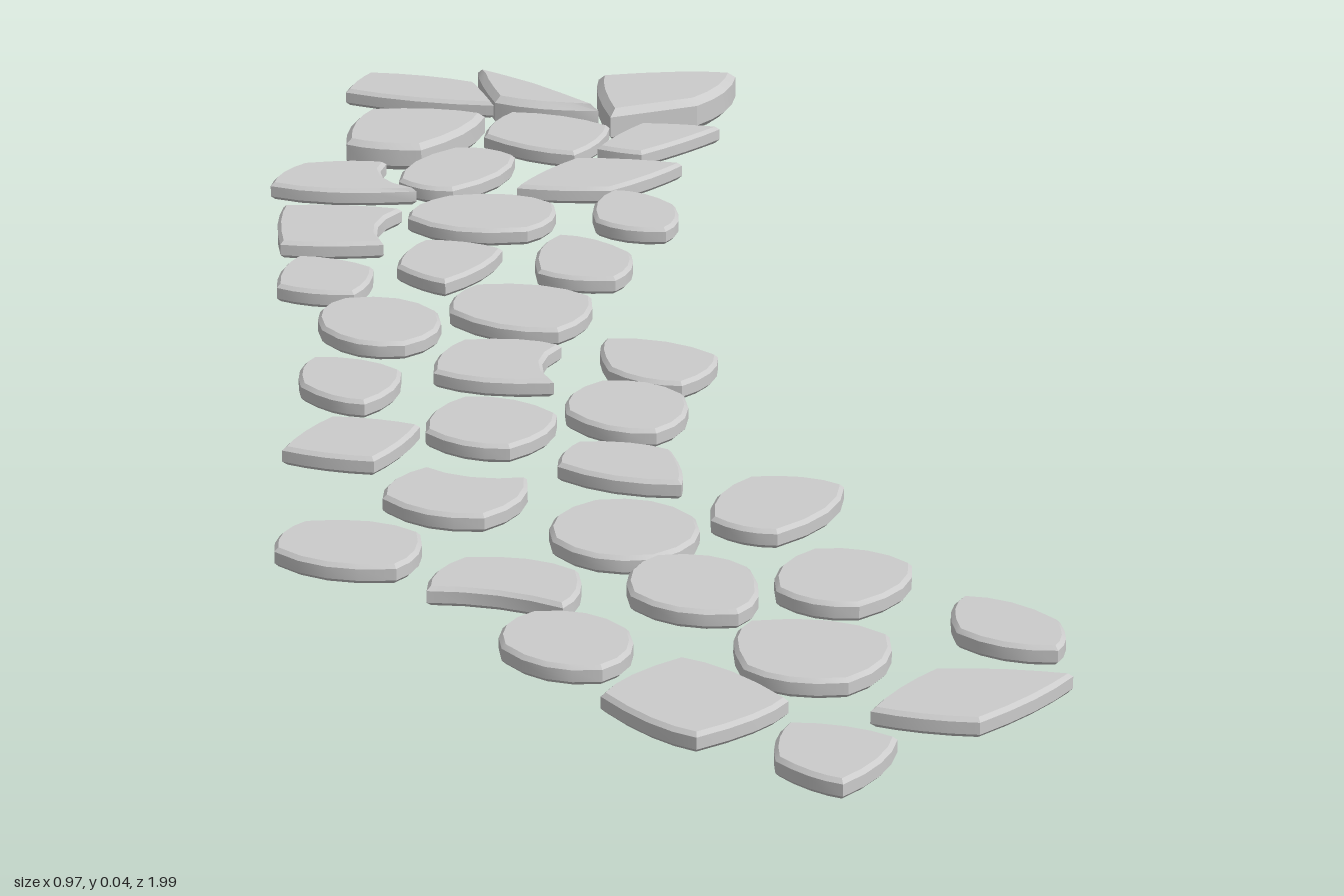
import * as THREE from 'three';
import { toCreasedNormals } from 'three/addons/utils/BufferGeometryUtils.js';

const THIN = [0.014, 0.034];   // bottom and top of an ordinary stone
const NOTCH = { backLeft: 0, frontLeft: 1, frontRight: 2 };

// Each stone: centre x, z, width, depth,
// then where its outline touches the back, left, front and right side of that box (0..1),
// its fullness (0 = straight edges, 1 = very round) and optionally a hollowed corner.
const sections = {
  backStones: [
    [.12, -.92, .15, .16, .32, .5, .95, .32, .2],
    [.21, -.725, .145, .16, .4, .55, .5, .4, .35],
    [.32, -.665, .155, .095, .5, .5, .25, .6, .15],
    [-.07, -.665, .145, .13, .4, .25, 1, .4, .4, NOTCH.frontLeft],
    [.07, -.65, .15, .13, .65, .4, .3, .6, .55],
    [.21, -.575, .2, .11, .48, .57, .47, .57, .2],
    [-.115, -.53, .16, .155, .27, .4, .65, .72, .25, NOTCH.frontLeft],
    [.045, -.5, .165, .135, .4, .5, .65, .35, .65],
    [.2, -.445, .1, .14, .55, .5, .6, .6, .55],
  ],
  middleBackStones: [
    [-.185, -.385, .115, .13, .45, .5, .6, .6, .35],
    [-.04, -.38, .125, .13, .45, .45, .25, .5, .35],
    [.09, -.33, .115, .15, .55, .55, .6, .65, .5],
    [-.175, -.235, .13, .15, .4, .5, .5, .5, .75],
    [-.02, -.215, .155, .16, .35, .5, .55, .4, .55],
    [-.26, -.09, .11, .14, .35, .5, .4, .5, .5],
    [-.1, -.075, .15, .145, .4, .37, .7, .5, .45, NOTCH.frontLeft],
    [.055, -.02, .12, .15, .25, .6, .45, .55, .5],
  ],
  middleFrontStones: [
    [-.315, .065, .15, .125, .5, .45, .5, .5, .2],
    [-.17, .075, .14, .145, .5, .55, .45, .5, .55],
    [-.025, .09, .13, .15, .5, .45, .5, .45, .65],
    [-.265, .235, .15, .14, .45, .45, .5, .4, .6, NOTCH.backLeft],
    [-.09, .23, .12, .14, .35, .4, .8, .35, .4],
    [-.41, .32, .145, .14, .35, .5, .65, .4, .55],
    [-.15, .385, .15, .155, .5, .5, .5, .5, .75],
    [.015, .38, .155, .14, .5, .4, .3, .6, .5],
    [-.305, .465, .15, .145, .4, .5, .7, .4, .5, NOTCH.frontRight],
  ],
  frontStones: [
    [-.14, .535, .13, .155, .45, .4, .6, .5, .65],
    [0, .57, .145, .14, .5, .5, .4, .55, .6],
    [-.3, .61, .125, .145, .45, .5, .55, .45, .7],
    [-.095, .715, .155, .16, .3, .5, .5, .6, .6],
    [.095, .73, .1, .145, .4, .6, .7, .5, .5],
    [-.24, .77, .155, .165, .65, .75, .3, .3, .4],
    [0, .86, .205, .12, .45, .5, .4, .5, .2],
    [-.165, .925, .12, .135, .35, .5, .3, .5, .35],
  ],
};

// Thicker stones at the back end, each with its own bottom and top
const thickStones = [
  { row: [.07, -.79, .18, .145, .35, .45, .4, .65, .35], span: [.008, .04] },
  { row: [.24, -.86, .1, .18, .2, 1, 1, .6, .3], span: [.003, .04] },
  { row: [.39, -.81, .19, .13, .2, .4, .57, 1, .35], span: [0, .04] },
];

// Outline running through the four touch points, one curve per corner of the box
function outline([, , w, d, back, left, front, right, fullness, notch]) {
  const touch = [[back, 0], [1, left], [front, 1], [0, right]].map(p => new THREE.Vector2(...p));
  const corners = [[1, 0], [1, 1], [0, 1], [0, 0]].map(p => new THREE.Vector2(...p));
  const centre = new THREE.Vector2(.5, .5);
  const points = [];
  touch.forEach((start, i) => {
    const end = touch[(i + 1) % 4];
    const control = start.clone().add(end).multiplyScalar(.5);
    if (i === notch) control.lerp(centre, .55);
    else control.lerp(corners[i], fullness);
    for (const p of new THREE.QuadraticBezierCurve(start, control, end).getPoints(4)) {
      p.set((p.x - .5) * w, (p.y - .5) * d);
      if (points.every(q => q.distanceTo(p) > .002)) points.push(p);
    }
  });
  return new THREE.Shape(points);
}

// Flat stone with chamfered rims above and below
function makeStone(row, [bottom, top], material) {
  const bevel = (top - bottom) * .2;
  const geometry = new THREE.ExtrudeGeometry(outline(row), {
    depth: top - bottom - 2 * bevel,
    bevelThickness: bevel,
    bevelSize: bevel,
    bevelOffset: -bevel,
    bevelSegments: 1,
  });
  geometry.rotateX(Math.PI / 2);
  const mesh = new THREE.Mesh(toCreasedNormals(geometry, .5), material);
  mesh.position.set(row[0], top - bevel, row[1]);
  return mesh;
}

export function createModel() {
  const model = new THREE.Group();
  model.name = 'steppingStonePath';
  const material = new THREE.MeshStandardMaterial({ color: 0xcccccc });

  for (const [name, rows] of Object.entries(sections)) {
    const group = new THREE.Group();
    group.name = name;
    rows.forEach((row, i) => {
      const stone = makeStone(row, THIN, material);
      stone.name = `stone${i + 1}`;
      group.add(stone);
    });
    model.add(group);
  }

  thickStones.forEach(({ row, span }, i) => {
    const stone = makeStone(row, span, material);
    stone.name = `thickStone${i + 1}`;
    model.add(stone);
  });
  return model;
}
